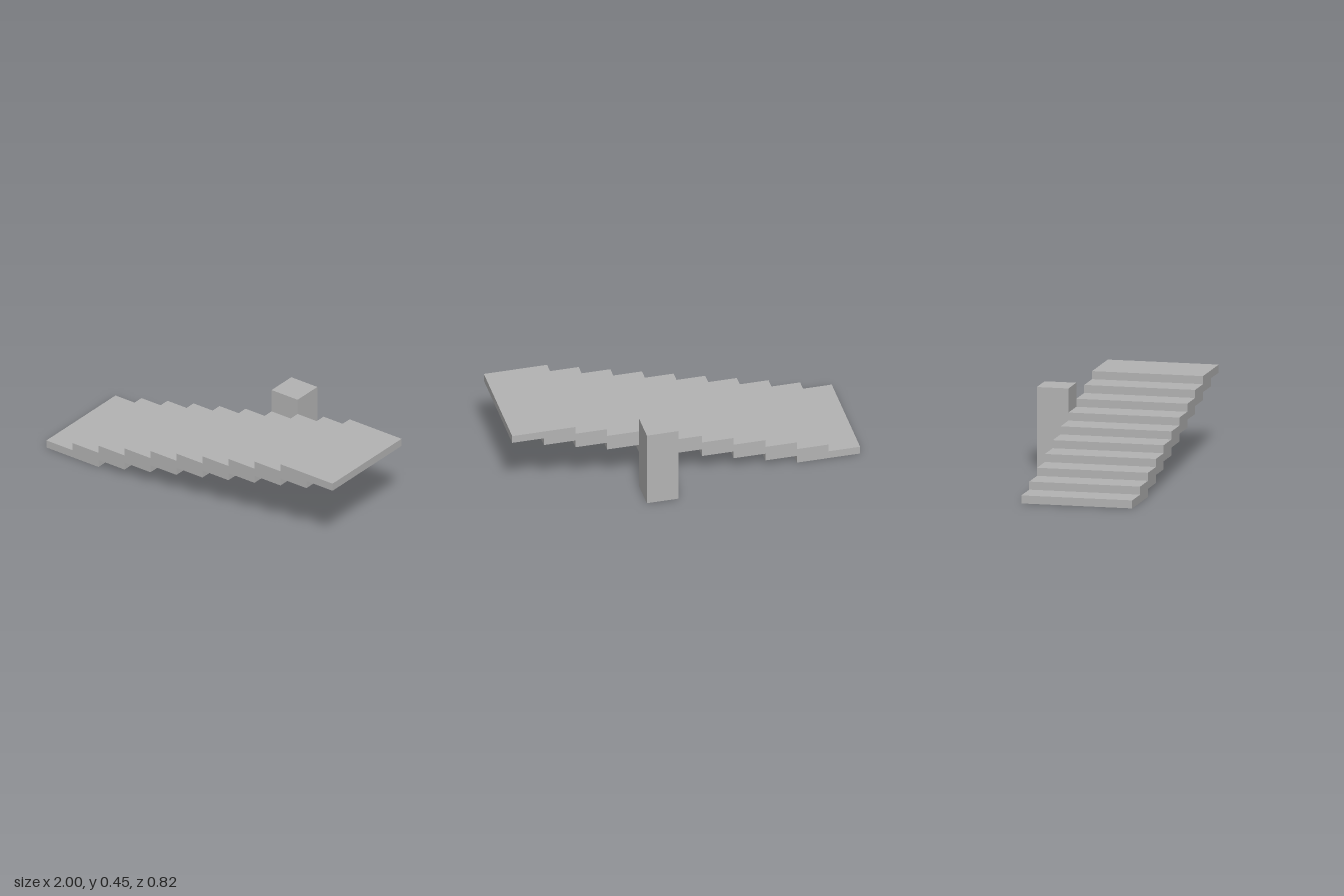
import * as THREE from 'three';

const RUN = 2 / 11;      // tread depth
const RISE = RUN / 4;    // height of one step
const STEPS = 10;
const BACK = -1.25 * RUN;
const FRONT = 2.25 * RUN;

export function createModel() {
  const group = new THREE.Group();
  const stone = new THREE.MeshStandardMaterial({ color: 0xb4b4b4 });
  stone.name = 'grey stone';

  // Stepped side profile: each slab is two treads long and overlaps the next by one
  const points = [];
  const add = (column, level) => points.push(new THREE.Vector2(-1 + column * RUN, level * RISE));
  add(0, 0);
  for (let i = 0; i < STEPS; i++) {
    add(i + 2, i);
    add(i + 2, i + 1);
  }
  for (let i = STEPS - 1; i > 0; i--) {
    add(i, i + 1);
    add(i, i);
  }
  add(0, 1);

  const stairs = new THREE.Mesh(
    new THREE.ExtrudeGeometry(new THREE.Shape(points), { depth: FRONT - BACK, bevelEnabled: false }),
    stone
  );
  stairs.name = 'stairs';
  stairs.position.z = BACK;
  group.add(stairs);

  // Square support post against the back of the stairs
  const post = new THREE.Mesh(new THREE.BoxGeometry(RUN, STEPS * RISE, RUN), stone);
  post.name = 'supportPost';
  post.position.set(RUN, (STEPS * RISE) / 2, BACK - RUN / 2);
  group.add(post);

  return group;
}
